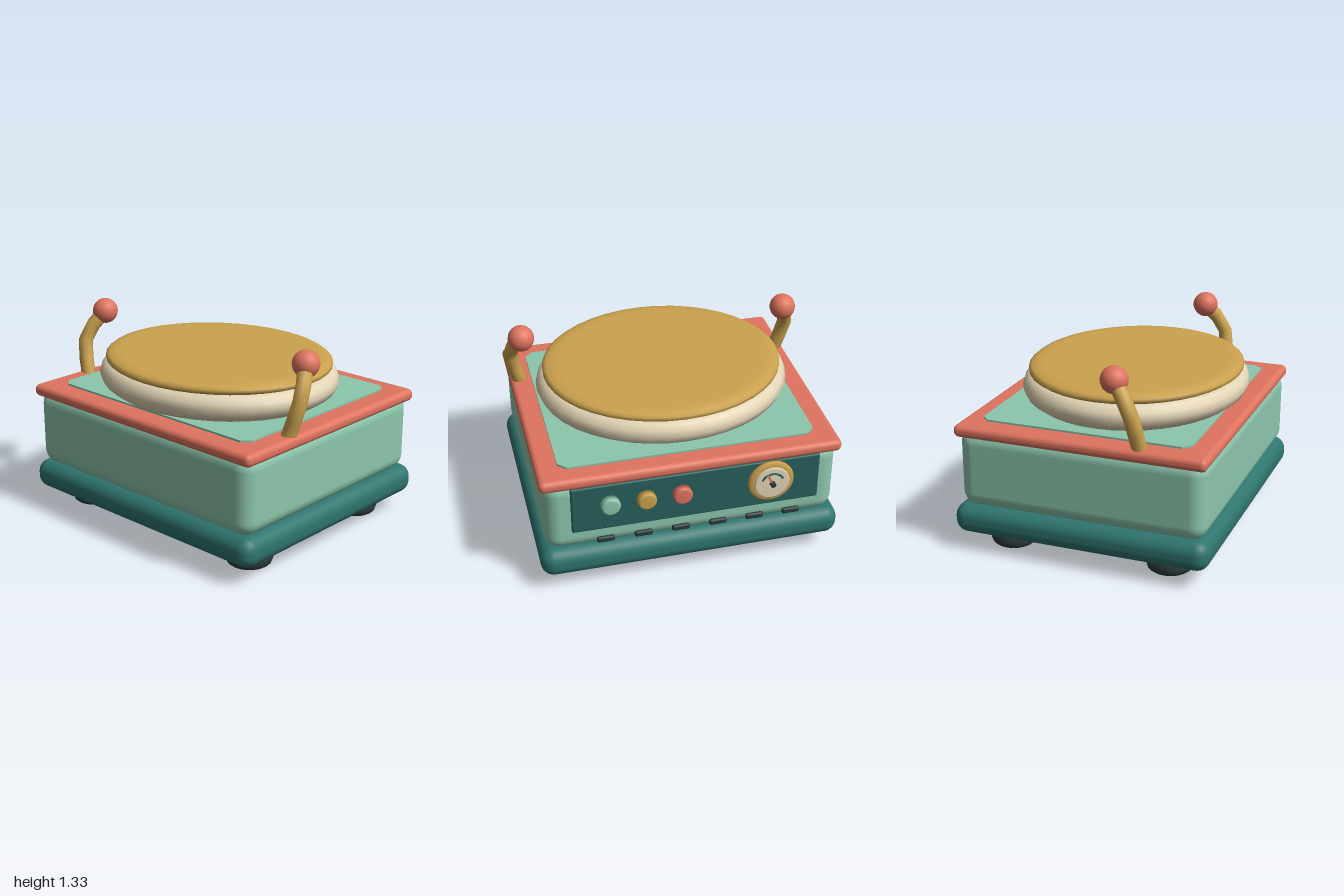
import * as THREE from 'three';
import { RoundedBoxGeometry } from 'three/addons/geometries/RoundedBoxGeometry.js';

const paint = (name, color) => {
  const m = new THREE.MeshStandardMaterial({ color });
  m.name = name;
  return m;
};

export function createModel() {
  const green = paint('seafoam', 0x8dc7ad);
  const teal = paint('teal', 0x2f756f);
  const darkTeal = paint('deepTeal', 0x265f5c);
  const coral = paint('coral', 0xdf745f);
  const gold = paint('gold', 0xcba24e);
  const cream = paint('cream', 0xe3d5b6);
  const dark = paint('charcoal', 0x2b3b3b);

  const model = new THREE.Group();
  model.name = 'countertopAppliance';

  const add = (parent, name, geometry, material, x = 0, y = 0, z = 0) => {
    const mesh = new THREE.Mesh(geometry, material);
    mesh.name = name;
    mesh.position.set(x, y, z);
    parent.add(mesh);
    return mesh;
  };
  const box = (name, w, h, d, r, material, x, y, z) =>
    add(model, name, new RoundedBoxGeometry(w, h, d, 4, r), material, x, y, z);
  const lathe = (points, sides) =>
    new THREE.LatheGeometry(points.map(([r, y]) => new THREE.Vector2(r, y)), sides);

  // Stacked housing
  box('baseSlab', 1.94, 0.195, 1.68, 0.085, teal, 0, 0.2075, 0.02);
  box('body', 1.87, 0.52, 1.61, 0.1, green, 0, 0.55, 0.025);
  box('topTrim', 1.91, 0.08, 1.635, 0.035, coral, 0, 0.8, 0.0225);

  // Chamfered deck plate inside the trim
  const w = 0.815, d = 0.685, c = 0.05;
  const deckShape = new THREE.Shape([
    [-w + c, -d], [w - c, -d], [w, -d + c], [w, d - c],
    [w - c, d], [-w + c, d], [-w, d - c], [-w, -d + c],
  ].map(([x, y]) => new THREE.Vector2(x, y)));
  const deckGeo = new THREE.ExtrudeGeometry(deckShape, { depth: 0.04, bevelEnabled: false });
  add(model, 'deckPlate', deckGeo.rotateX(-Math.PI / 2), green, 0, 0.812, 0.015);

  // Oval ring and lid
  const ring = lathe([
    [0, 0.845], [0.68, 0.845], [0.745, 0.862], [0.8, 0.9], [0.823, 0.95],
    [0.81, 0.99], [0.785, 1.022], [0.745, 1.04], [0, 1.04],
  ], 40);
  add(model, 'ovalRing', ring, cream, 0, 0, 0.065).scale.z = 0.884;
  const lid = lathe([
    [0, 1.035], [0.755, 1.035], [0.775, 1.048], [0.775, 1.07],
    [0.755, 1.085], [0.71, 1.094], [0.66, 1.095], [0, 1.095],
  ], 40);
  add(model, 'lid', lid, gold, 0, 0, 0.065).scale.z = 0.887;

  // Levers and feet, mirrored
  for (const s of [-1, 1]) {
    const lever = new THREE.Group();
    lever.name = s > 0 ? 'leftLever' : 'rightLever';
    const path = new THREE.CatmullRomCurve3([
      new THREE.Vector3(s * 0.885, 0.81, 0.415),
      new THREE.Vector3(s * 0.947, 1.07, 0.37),
      new THREE.Vector3(s * 0.88, 1.24, 0.25),
    ]);
    add(lever, 'leverArm', new THREE.TubeGeometry(path, 4, 0.048, 10), gold);
    add(lever, 'leverKnob', new THREE.SphereGeometry(0.085, 20, 14), coral, s * 0.88, 1.24, 0.25);
    model.add(lever);

    for (const z of [0.55, -0.51]) {
      const foot = lathe([
        [0, 0], [0.125, 0], [0.14, 0.012], [0.15, 0.04], [0.15, 0.13], [0, 0.13],
      ], 20);
      add(model, 'foot', foot, dark, s * 0.71, 0, z);
    }
  }

  // Back control panel
  box('controlPanel', 1.58, 0.33, 0.03, 0.012, darkTeal, -0.02, 0.605, -0.782);

  // Push knobs
  [[0.08, coral], [0.305, gold], [0.53, green]].forEach(([x, material]) => {
    const knob = lathe([
      [0, 0], [0.061, 0], [0.061, 0.038], [0.056, 0.047], [0.046, 0.051], [0, 0.051],
    ], 14);
    add(model, 'pushKnob', knob, material, x, 0.633, -0.796).rotation.x = -Math.PI / 2;
  });

  // Gauge, built facing +z and turned to the back
  const gauge = new THREE.Group();
  gauge.name = 'gauge';
  gauge.position.set(-0.49, 0.628, -0.796);
  gauge.rotation.y = Math.PI;
  model.add(gauge);
  const bezel = lathe([
    [0, 0], [0.147, 0], [0.147, 0.015], [0.138, 0.025], [0.115, 0.028], [0, 0.028],
  ], 28);
  add(gauge, 'gaugeBezel', bezel, gold).rotation.x = Math.PI / 2;
  const dial = lathe([[0, 0.02], [0.115, 0.02], [0.113, 0.036], [0.105, 0.04], [0, 0.04]], 28);
  add(gauge, 'gaugeDial', dial, cream).rotation.x = Math.PI / 2;
  const arc = new THREE.TorusGeometry(0.072, 0.007, 6, 16, Math.PI * 0.72);
  add(gauge, 'gaugeScale', arc, darkTeal, 0, 0, 0.042).rotation.z = Math.PI * 0.14;
  const needle = new THREE.BoxGeometry(0.014, 0.085, 0.008).translate(0, 0.036, 0);
  add(gauge, 'gaugeNeedle', needle, coral, 0, 0, 0.05).rotation.z = 0.45;
  const hub = new THREE.CylinderGeometry(0.018, 0.018, 0.026, 14).rotateX(Math.PI / 2);
  add(gauge, 'gaugeHub', hub, dark, 0, 0, 0.052);

  // Vent slots under the panel
  for (let i = 0; i < 6; i++) {
    box('ventSlot', 0.115, 0.04, 0.03, 0.014, dark, 0.56 - i * 0.24, 0.353, -0.784);
  }

  return model;
}
